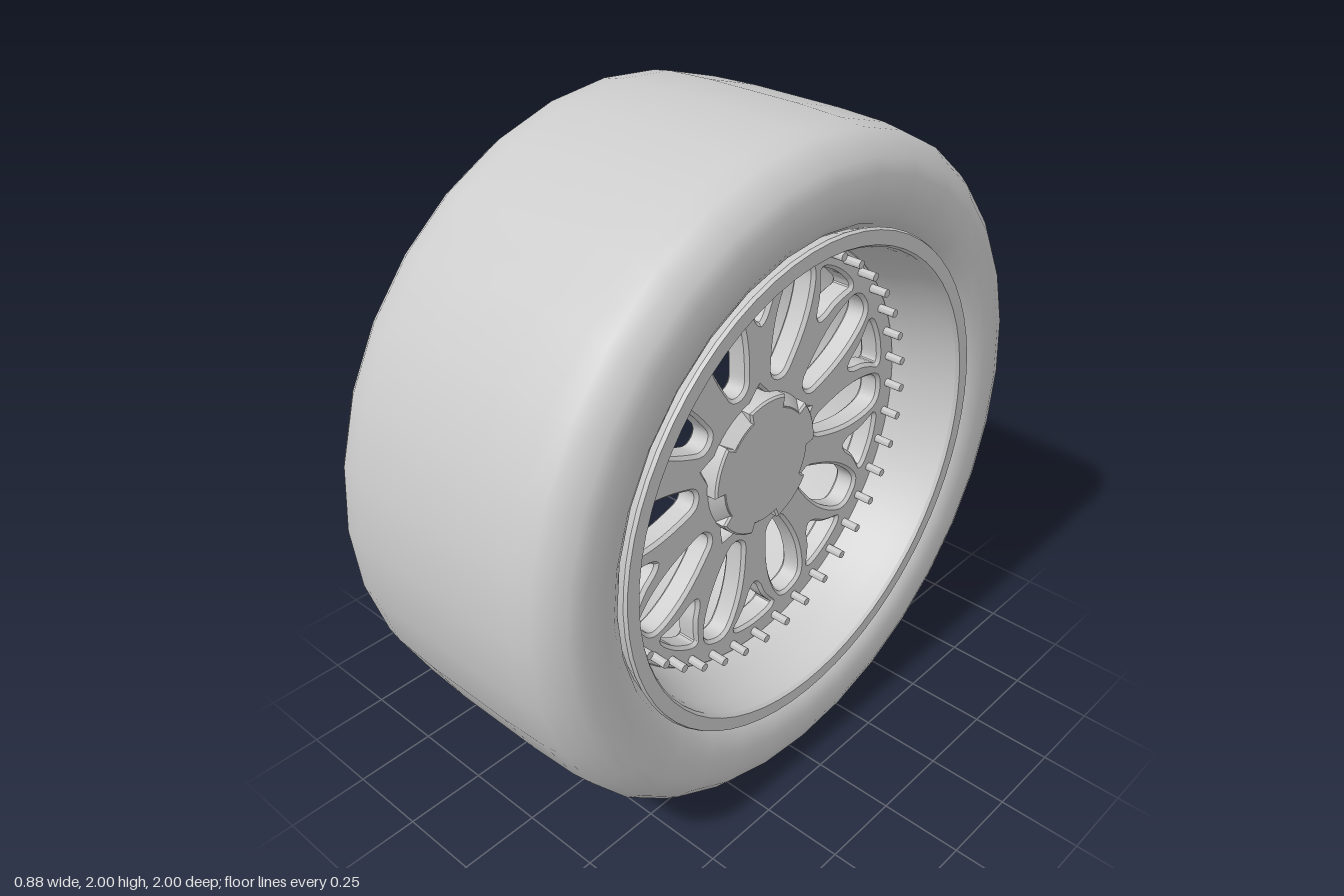
import * as THREE from 'three';
import { toCreasedNormals } from 'three/addons/utils/BufferGeometryUtils.js';

const grey = new THREE.MeshStandardMaterial({ color: 0xcccccc });
const V = (x, y) => new THREE.Vector2(x, y);

export function createModel() {
  const model = new THREE.Group();
  const wheel = new THREE.Group();
  wheel.name = 'wheel';
  wheel.position.y = 1;
  model.add(wheel);

  const add = (name, geometry, parent = wheel) => {
    const mesh = new THREE.Mesh(geometry, grey);
    mesh.name = name;
    parent.add(mesh);
    return mesh;
  };
  // Profiles are [radius, x]; the axle lies along x
  const lathe = (pts, segments) =>
    new THREE.LatheGeometry(pts.map(([r, x]) => V(r, x)), segments).rotateZ(-Math.PI / 2);
  // Shapes are drawn in the wheel plane and extruded towards +x
  const extrude = (shape, x0, x1, bevel, curveSegments = 12) => {
    const g = new THREE.ExtrudeGeometry(shape, {
      depth: x1 - x0 - 2 * bevel, bevelEnabled: true, bevelThickness: bevel,
      bevelSize: bevel, bevelOffset: -bevel, bevelSegments: 1, curveSegments,
    });
    g.translate(0, 0, x0 + bevel).rotateY(Math.PI / 2);
    return toCreasedNormals(g, 0.5);
  };

  // Tyre: one sidewall, mirrored across the tread
  const side = [
    [0.71, 0.36], [0.735, 0.385], [0.75, 0.41], [0.78, 0.43], [0.82, 0.439], [0.885, 0.44],
    [0.925, 0.425], [0.96, 0.395], [0.985, 0.36], [0.994, 0.3], [1, 0.15],
  ];
  const mirrored = side.map(([r, x]) => [r, -x]);
  add('tyre', lathe([...mirrored, ...side.slice().reverse()], 32));

  // Rim: barrel with a deep stepped lip on the outer face
  add('rim', toCreasedNormals(lathe([
    [0.74, -0.42], [0.72, -0.36], [0.7, -0.3], [0.7, 0.3], [0.72, 0.36], [0.74, 0.42],
    [0.735, 0.43], [0.695, 0.43], [0.688, 0.42], [0.685, 0.35], [0.662, 0.28], [0.648, 0.2],
    [0.648, 0.15], [0.67, 0.1], [0.685, -0.38], [0.69, -0.43], [0.735, -0.43], [0.74, -0.42],
  ], 64), 0.45));

  // Spoke disc: the windows are cut so that ten forked spokes remain
  const disc = new THREE.Shape().absarc(0, 0, 0.656, 0, Math.PI * 2);
  // A window symmetric about a radius, from [radius, half width] points
  const cutWindow = (half, angle, smooth = true) => {
    const mirror = half.filter(p => p[1] > 0).reverse().map(([r, t]) => [r, -t]);
    let pts = [...half, ...mirror].map(([r, t]) => V(r, t).rotateAround(V(0, 0), angle));
    if (smooth) {
      const curve = new THREE.CatmullRomCurve3(pts.map(p => new THREE.Vector3(p.x, p.y, 0)), true);
      pts = curve.getPoints(36).slice(0, -1).map(p => V(p.x, p.y));
    }
    disc.holes.push(new THREE.Path(pts));
  };
  const oval = [[0.257, 0], [0.268, 0.027], [0.31, 0.043], [0.38, 0.06], [0.45, 0.067],
    [0.52, 0.061], [0.56, 0.047], [0.574, 0.026], [0.577, 0]];
  const fork = [[0.44, 0], [0.455, 0.017], [0.5, 0.038], [0.54, 0.068], [0.562, 0.086],
    [0.572, 0.076], [0.58, 0.04], [0.583, 0]];
  const slit = [[0.205, 0.04], [0.243, 0]];
  for (let i = 0; i < 10; i++) {
    const a = i * Math.PI / 5;
    cutWindow(oval, a);
    cutWindow(fork, a + Math.PI / 10);
    if (i < 5) cutWindow(slit, Math.PI / 2 + 2 * a, false);
  }
  add('spokeDisc', extrude(disc, 0.14, 0.215, 0.01, 40));

  // Hub cap: tapered core with five lobes
  const cap = new THREE.Group();
  cap.name = 'hubCap';
  wheel.add(cap);
  add('capCore', toCreasedNormals(lathe(
    [[0, 0.13], [0.213, 0.13], [0.213, 0.215], [0.18, 0.248], [0, 0.248]], 50), 0.4), cap);
  const outline = [];
  for (let i = 0; i < 5; i++) {
    const mid = Math.PI / 2 + i * Math.PI * 0.4;
    for (const [radius, centre, halfWidth] of [[0.215, mid, 0.36], [0.182, mid + Math.PI / 5, 0.24]]) {
      for (let j = -3; j <= 3; j++) {
        const a = centre + halfWidth * j / 3;
        outline.push(V(radius * Math.cos(a), radius * Math.sin(a)));
      }
    }
  }
  add('capLobes', extrude(new THREE.Shape(outline), 0.17, 0.25, 0.006), cap);

  // Ring of forty rim bolts
  const bolts = new THREE.Group();
  bolts.name = 'rimBolts';
  wheel.add(bolts);
  const boltGeometry = toCreasedNormals(
    new THREE.CylinderGeometry(0.013, 0.013, 0.07, 10).rotateZ(-Math.PI / 2), 0.8);
  for (let i = 0; i < 40; i++) {
    const a = i * Math.PI / 20;
    add('bolt', boltGeometry, bolts).position.set(0.235, 0.623 * Math.sin(a), 0.623 * Math.cos(a));
  }
  return model;
}
